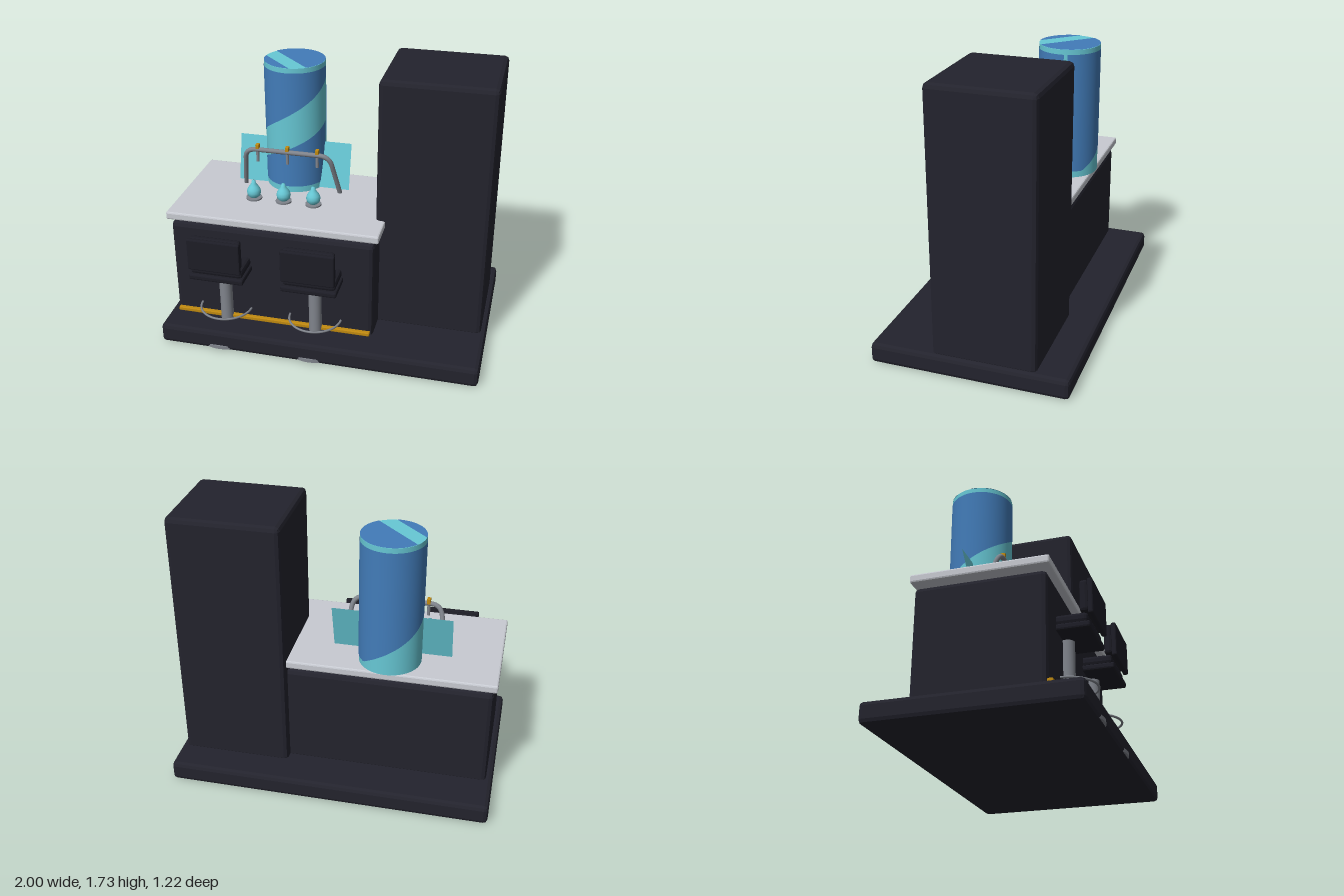
import * as THREE from 'three';
import { RoundedBoxGeometry } from 'three/addons/geometries/RoundedBoxGeometry.js';

const mat = (name, color, side = THREE.FrontSide) => {
  const m = new THREE.MeshStandardMaterial({ color, side });
  m.name = name;
  return m;
};

export function createModel() {
  const root = new THREE.Group();
  root.name = 'drinksBar';
  const dark = mat('charcoal', 0x23232d);
  const black = mat('blackPadding', 0x1d1d26);
  const pale = mat('paleStone', 0xc8cbd2);
  const cyan = mat('cyan', 0x67c8d5, THREE.DoubleSide);
  const blue = mat('blue', 0x427cb9, THREE.DoubleSide);
  const steel = mat('steel', 0x80848c);
  const gold = mat('gold', 0xc08a10);

  const add = (parent, name, geo, m, x = 0, y = 0, z = 0) => {
    const mesh = new THREE.Mesh(geo, m);
    mesh.name = name;
    mesh.position.set(x, y, z);
    parent.add(mesh);
    return mesh;
  };
  // Box given by its limits, with flat chamfered edges
  const block = (parent, name, m, [x0, x1], [y0, y1], [z0, z1], chamfer) => {
    const size = [x1 - x0, y1 - y0, z1 - z0];
    const geo = chamfer ? new RoundedBoxGeometry(...size, 1, chamfer) : new THREE.BoxGeometry(...size);
    if (chamfer) geo.computeVertexNormals();
    return add(parent, name, geo, m, (x0 + x1) / 2, (y0 + y1) / 2, (z0 + z1) / 2);
  };

  // Main blocks
  block(root, 'floorBase', dark, [-1, 1], [0, 0.125], [-0.61, 0.6], 0.025);
  block(root, 'tower', dark, [0.29, 0.97], [0.1, 1.73], [-0.41, 0.22], 0.028);
  block(root, 'counterBody', dark, [-0.96, 0.32], [0.1, 0.765], [-0.35, 0.4], 0.028);
  block(root, 'countertop', pale, [-0.98, 0.35], [0.79, 0.84], [-0.37, 0.42], 0.01);
  block(root, 'footTrim', gold, [-0.945, 0.305], [0.13, 0.155], [0.39, 0.425], 0.005);

  // Tank with a helical two-colour pattern
  const tank = new THREE.Group();
  tank.name = 'tank';
  tank.position.set(-0.317, 0, -0.203);
  root.add(tank);
  const R = 0.19;
  add(tank, 'tankBody', new THREE.CylinderGeometry(R, R, 0.825, 48), cyan, 0, 1.2575, 0);
  // Curved patch between two heights, angles in degrees from the front
  const patch = (name, a0, a1, low, high) => {
    const geo = new THREE.PlaneGeometry(1, 1, 72, 1);
    const p = geo.attributes.position;
    const n = geo.attributes.normal;
    for (let i = 0; i < p.count; i++) {
      const deg = a0 + (p.getX(i) + 0.5) * (a1 - a0);
      const a = THREE.MathUtils.degToRad(deg);
      const lo = Math.min(Math.max(low(deg), 0.885), high(deg));
      const y = p.getY(i) > 0 ? high(deg) : lo;
      p.setXYZ(i, Math.sin(a) * (R + 0.002), y, Math.cos(a) * (R + 0.002));
      n.setXYZ(i, Math.sin(a), 0, Math.cos(a));
    }
    add(tank, name, geo, blue);
  };
  patch('upperSwirl', -258, 95, (d) => 1.36 + 0.0021 * d, () => 1.64);
  patch('lowerSwirl', -75, 90, () => 0.885, (d) => 1.14 + 0.0016 * d);
  // Circle segments on the lid
  for (const [name, mid, half] of [['lidWide', Math.PI / 4, 1.72], ['lidNarrow', Math.PI * 1.25, 0.86]]) {
    const s = new THREE.Shape().absarc(0, 0, R, mid - half, mid + half, false);
    add(tank, name, new THREE.ShapeGeometry(s, 32).rotateX(-Math.PI / 2), blue, 0, 1.672, 0);
  }

  // Leaning splash panel behind the taps
  const panel = add(root, 'splashPanel', new THREE.PlaneGeometry(0.73, 0.3), cyan, -0.317, 0.995, -0.153);
  panel.rotation.x = -Math.atan2(0.07, 0.29);

  // Bent tap rail
  const V = (x, y, z) => new THREE.Vector3(x, y, z);
  const rail = new THREE.CurvePath();
  const cx = -0.317;
  const pts = [V(-0.313, 0.84, -0.09), V(-0.28, 1.06, -0.012), V(-0.27, 1.13, 0.01), V(-0.2, 1.13, 0.01)];
  const L = pts.map((v) => V(cx + v.x, v.y, v.z));
  const Rr = pts.map((v) => V(cx - v.x, v.y, v.z));
  rail.add(new THREE.LineCurve3(L[0], L[1]));
  rail.add(new THREE.QuadraticBezierCurve3(L[1], L[2], L[3]));
  rail.add(new THREE.LineCurve3(L[3], Rr[3]));
  rail.add(new THREE.QuadraticBezierCurve3(Rr[3], Rr[2], Rr[1]));
  rail.add(new THREE.LineCurve3(Rr[1], Rr[0]));
  add(root, 'tapRail', new THREE.TubeGeometry(rail, 80, 0.015, 10), steel);

  // Taps, with a drop-shaped flask under each
  const flask = [[0, 0], [0.025, 0.003], [0.04, 0.018], [0.045, 0.04], [0.04, 0.06], [0.028, 0.078],
    [0.016, 0.095], [0.011, 0.115], [0, 0.118]].map(([x, y]) => new THREE.Vector2(x, y));
  for (const x of [-0.51, -0.317, -0.125]) {
    block(root, 'tapClip', gold, [x - 0.011, x + 0.011], [1.13, 1.167], [-0.008, 0.022], 0.003);
    add(root, 'tapSpout', new THREE.CylinderGeometry(0.01, 0.01, 0.08, 12), steel, x, 1.09, 0.01);
    add(root, 'flask', new THREE.LatheGeometry(flask, 20), cyan, x, 0.848, 0.112);
    add(root, 'coaster', new THREE.CylinderGeometry(0.05, 0.05, 0.01, 24), steel, x, 0.845, 0.112);
  }

  // Stools
  for (const x of [-0.617, -0.038]) {
    const stool = new THREE.Group();
    stool.name = 'stool';
    stool.position.set(x, 0, 0.418);
    root.add(stool);
    add(stool, 'floorDisc', new THREE.CylinderGeometry(0.192, 0.192, 0.022, 40), steel, 0, 0.022, 0);
    add(stool, 'column', new THREE.CylinderGeometry(0.04, 0.04, 0.46, 20), steel, 0, 0.26, 0);
    const ring = new THREE.TorusGeometry(0.162, 0.007, 8, 32, Math.PI).rotateX(Math.PI / 2);
    add(stool, 'footRing', ring, steel, 0, 0.218, 0);
    block(stool, 'heightLever', gold, [0.03, 0.08], [0.462, 0.482], [-0.012, 0.018], 0.004);
    block(stool, 'seatPan', black, [-0.172, 0.172], [0.485, 0.522], [-0.17, 0.167], 0.01);
    block(stool, 'seatCushion', black, [-0.163, 0.163], [0.52, 0.577], [-0.15, 0.152], 0.018);
    block(stool, 'backPlate', black, [-0.165, 0.165], [0.567, 0.775], [0.154, 0.184], 0.008);
    block(stool, 'backCushion', black, [-0.158, 0.158], [0.585, 0.772], [0.107, 0.156], 0.016);
  }
  return root;
}
